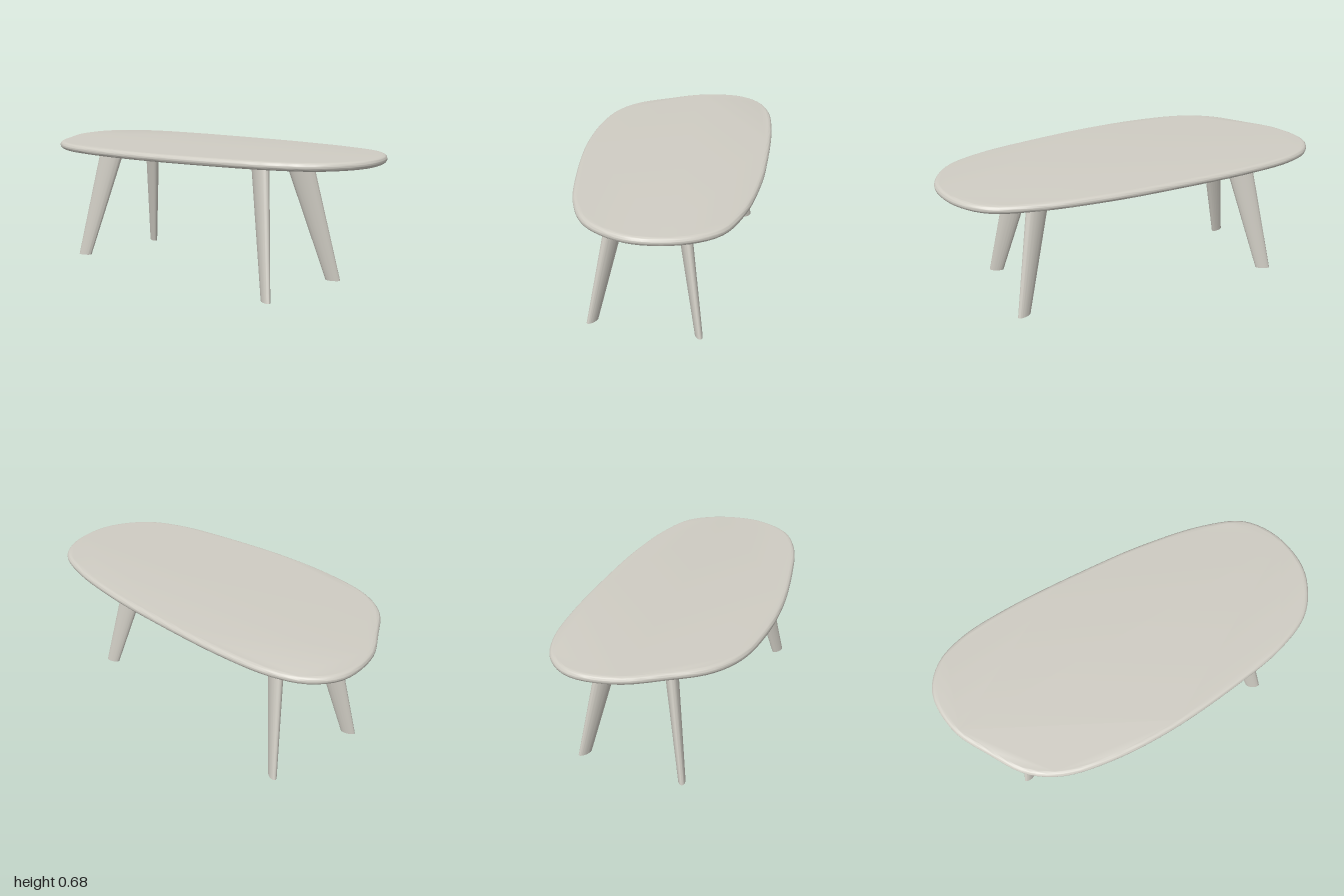
import * as THREE from 'three';
import { toCreasedNormals } from 'three/addons/utils/BufferGeometryUtils.js';

const finish = new THREE.MeshStandardMaterial({ color: 0xcfccc3 });
finish.name = 'warm grey';

const TOP_Y = 0.675;
const UNDER_Y = 0.635;

// Freeform outline of the tabletop, as x, z
const OUTLINE = [
  [-1, -0.16], [-0.968, 0.06], [-0.85, 0.24], [-0.717, 0.4], [-0.556, 0.48],
  [-0.315, 0.503], [0, 0.478], [0.4, 0.393], [0.7, 0.3], [0.888, 0.185],
  [0.98, 0.03], [1, -0.1], [0.95, -0.29], [0.834, -0.425], [0.62, -0.487],
  [0.28, -0.507], [0, -0.495], [-0.5, -0.445], [-0.77, -0.385], [-0.92, -0.3],
];

// Pebble-shaped slab with a rounded edge
function makeTabletop() {
  const curve = new THREE.CatmullRomCurve3(
    OUTLINE.map(([x, z]) => new THREE.Vector3(x, z, 0)), true, 'centripetal');
  const points = curve.getSpacedPoints(120).slice(0, -1);
  const shape = new THREE.Shape(points.map((p) => new THREE.Vector2(p.x, p.y)));
  const geometry = new THREE.ExtrudeGeometry(shape, {
    depth: 0.004, bevelEnabled: true, bevelThickness: 0.018,
    bevelSize: 0.022, bevelOffset: -0.022, bevelSegments: 8,
  });
  geometry.rotateX(Math.PI / 2);
  geometry.translate(0, TOP_Y - 0.018, 0);
  const mesh = new THREE.Mesh(toCreasedNormals(geometry, 0.6), finish);
  mesh.name = 'tabletop';
  return mesh;
}

// Splayed leg: an oval section, turned along its splay, tapering to the floor
function makeLeg(name, top, foot, turn) {
  const geometry = new THREE.CylinderGeometry(1, 1, 1, 40, 1);
  const pos = geometry.attributes.position;
  const c = Math.cos(turn), s = Math.sin(turn);
  for (let i = 0; i < pos.count; i++) {
    const t = pos.getY(i) + 0.5;
    const u = pos.getX(i) * THREE.MathUtils.lerp(0.038, 0.073, t);
    const v = pos.getZ(i) * THREE.MathUtils.lerp(0.018, 0.035, t);
    pos.setXYZ(i,
      THREE.MathUtils.lerp(foot[0], top[0], t) + u * c - v * s,
      t * (UNDER_Y + 0.003),
      THREE.MathUtils.lerp(foot[1], top[1], t) + u * s + v * c);
  }
  const mesh = new THREE.Mesh(toCreasedNormals(geometry, 0.7), finish);
  mesh.name = name;
  return mesh;
}

export function createModel() {
  const model = new THREE.Group();
  model.name = 'coffeeTable';
  model.add(makeTabletop());

  // Leg centres at the top and the floor, for each side and each end
  const sides = [
    { name: 'Left', x: [0.51, 0.655], sign: 1 },
    { name: 'Right', x: [-0.583, -0.715], sign: -1 },
  ];
  const ends = [
    { name: 'front', z: [0.129, 0.248], sign: 1 },
    { name: 'back', z: [-0.166, -0.29], sign: -1 },
  ];
  for (const side of sides) {
    for (const end of ends) {
      model.add(makeLeg(end.name + side.name + 'Leg',
        [side.x[0], end.z[0]], [side.x[1], end.z[1]],
        side.sign * end.sign * 0.43));
    }
  }
  return model;
}
